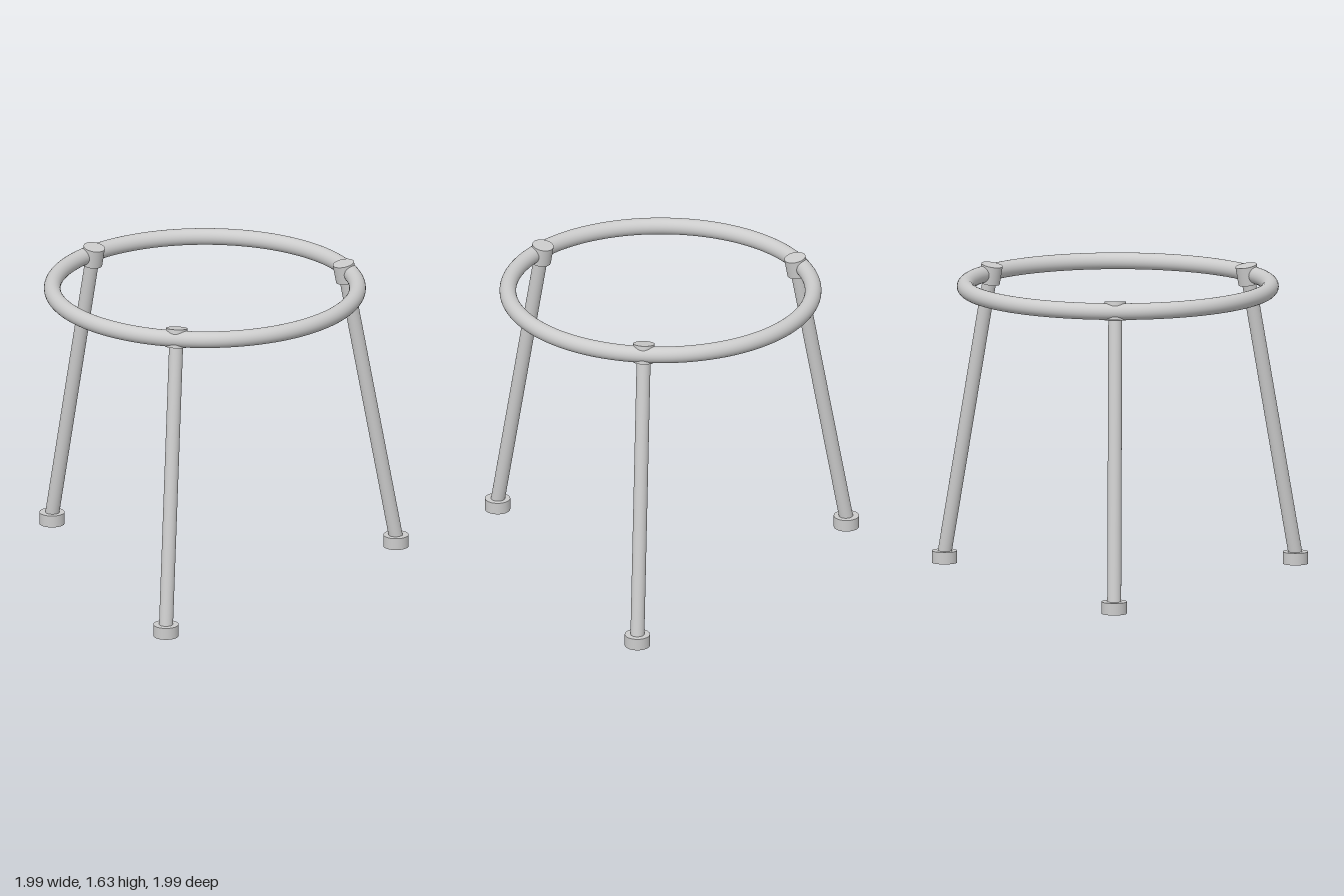
import * as THREE from 'three';

const material = new THREE.MeshStandardMaterial({ color: 0xcccccc });

// Closed cylinder running between two points
function rod(name, from, to, radius) {
  const dir = to.clone().sub(from);
  const mesh = new THREE.Mesh(new THREE.CylinderGeometry(radius, radius, dir.length(), 40), material);
  mesh.name = name;
  mesh.position.copy(from).add(to).multiplyScalar(0.5);
  mesh.quaternion.setFromUnitVectors(new THREE.Vector3(0, 1, 0), dir.normalize());
  return mesh;
}

export function createModel() {
  const stand = new THREE.Group();
  stand.name = 'tripodStand';

  // Round hoop at the top
  const ring = new THREE.Mesh(new THREE.TorusGeometry(0.808, 0.044, 28, 128), material);
  ring.name = 'ring';
  ring.rotation.x = Math.PI / 2;
  ring.position.set(-0.013, 1.575, -0.147);
  stand.add(ring);

  // Splayed legs: foot centre (x, z) and collar top centre (x, z)
  const legs = [
    ['front', -0.04, 0.927, -0.033, 0.628],
    ['backLeft', 0.926, -0.66, 0.667, -0.52],
    ['backRight', -0.928, -0.705, -0.675, -0.55],
  ];
  for (const [side, fx, fz, tx, tz] of legs) {
    const leg = new THREE.Group();
    leg.name = side + 'Leg';
    const bottom = new THREE.Vector3(fx, 0.05, fz);
    const top = new THREE.Vector3(tx, 1.623, tz);
    const collarBase = top.clone().lerp(bottom, 0.062);

    leg.add(rod('legTube', bottom, collarBase.clone().lerp(top, 0.5), 0.037));
    // Collar that grips the hoop
    leg.add(rod('collar', collarBase, top, 0.057));
    // Flat upright foot
    leg.add(rod('foot', new THREE.Vector3(fx, 0, fz), new THREE.Vector3(fx, 0.064, fz), 0.067));
    stand.add(leg);
  }
  return stand;
}
